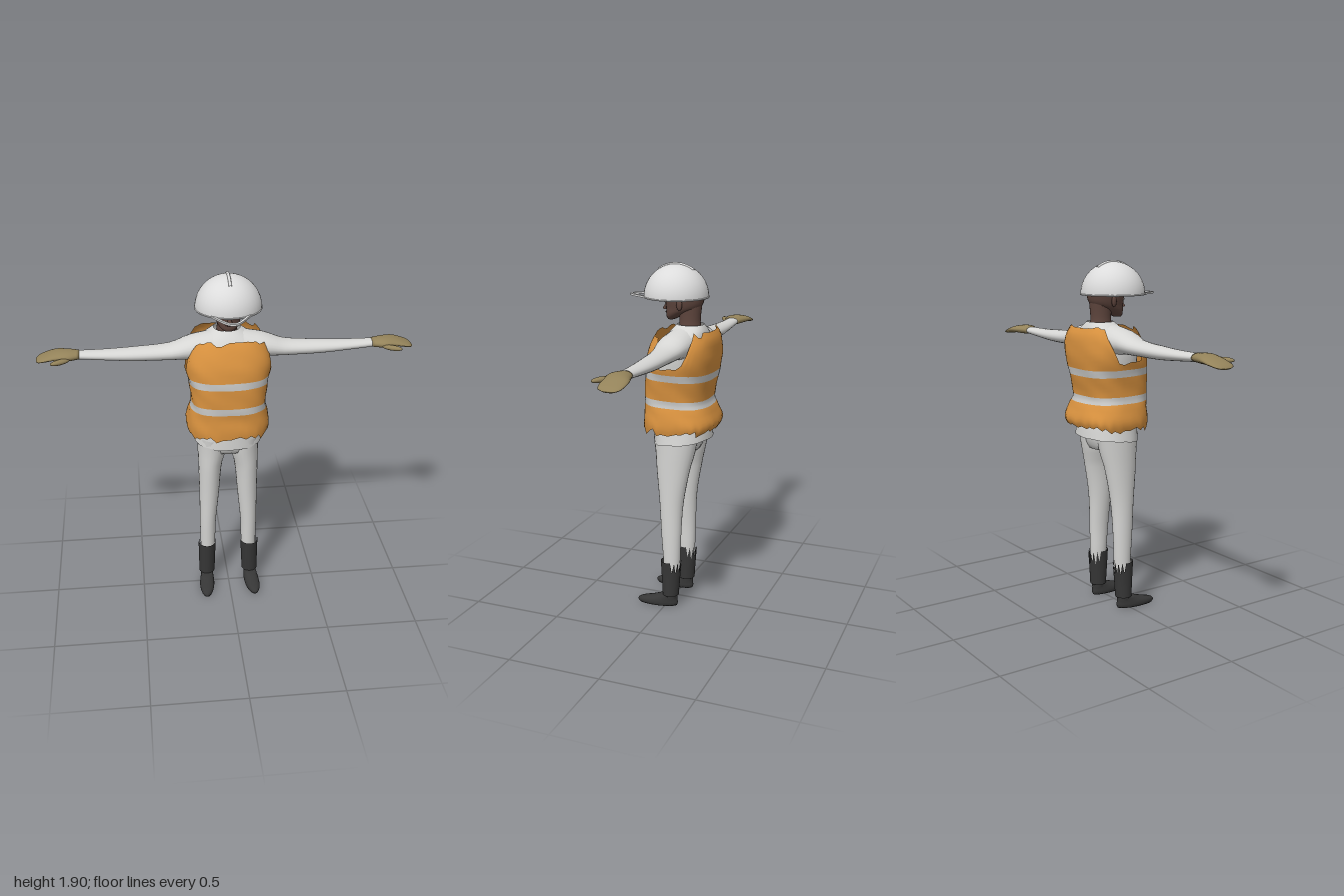
import * as THREE from 'three';

const mat = (name, color) => new THREE.MeshStandardMaterial({ name, color, side: THREE.DoubleSide });

// Smoothly interpolated row [t, centre, halfWidth, front, back] at height t
function rowAt(rows, t) {
  let i = 0;
  while (i < rows.length - 2 && t > rows[i + 1][0]) i++;
  const a = rows[i], b = rows[i + 1], p = rows[Math.max(i - 1, 0)], n = rows[Math.min(i + 2, rows.length - 1)];
  const h = b[0] - a[0], s = THREE.MathUtils.clamp((t - a[0]) / h, 0, 1), s2 = s * s, s3 = s2 * s;
  return a.map((v, k) => {
    const m0 = (b[k] - p[k]) / (b[0] - p[0]) * h, m1 = (n[k] - v) / (n[0] - a[0]) * h;
    return v * (2 * s3 - 3 * s2 + 1) + m0 * (s3 - 2 * s2 + s) + b[k] * (3 * s2 - 2 * s3) + m1 * (s3 - s2);
  });
}

// Skin of rounded cross-sections; the lower and upper edges may vary around the loop
function skin(rows, { nu = 24, nv = 14, power = 1, cap = false, bump = () => 0,
  bottom = () => rows[0][0], top = () => rows[rows.length - 1][0] } = {}) {
  const pos = [], idx = [];
  const bend = v => Math.sign(v) * Math.abs(v) ** power;
  for (let j = 0; j <= nv; j++) {
    for (let i = 0; i < nu; i++) {
      const a = i / nu * Math.PI * 2;
      const y = THREE.MathUtils.lerp(bottom(a, i), top(a, i), j / nv);
      const [, c, rx, zf, zb] = rowAt(rows, y), k = 1 + bump(a, y);
      pos.push(c + rx * k * bend(Math.sin(a)), y, (zf + zb) / 2 + (zf - zb) / 2 * k * bend(Math.cos(a)));
      if (j < nv) {
        const p = j * nu + i, q = j * nu + (i + 1) % nu;
        idx.push(p, q, q + nu, p, q + nu, p + nu);
      }
    }
  }
  if (cap) {
    [[rows[0], 0], [rows[rows.length - 1], nv * nu]].forEach(([r, base], end) => {
      const centre = pos.length / 3;
      pos.push(r[1], r[0], (r[3] + r[4]) / 2);
      for (let i = 0; i < nu; i++) {
        const p = base + i, q = base + (i + 1) % nu;
        idx.push(...(end ? [centre, p, q] : [centre, q, p]));
      }
    });
  }
  const g = new THREE.BufferGeometry();
  g.setAttribute('position', new THREE.Float32BufferAttribute(pos, 3));
  g.setIndex(idx);
  g.computeVertexNormals();
  return g;
}

// Mirror image across x = 0 with corner order restored
function mirrored(g) {
  const m = g.clone().scale(-1, 1, 1), ix = m.index.array;
  for (let i = 0; i < ix.length; i += 3) [ix[i], ix[i + 1]] = [ix[i + 1], ix[i]];
  m.computeVertexNormals();
  return m;
}

const hash = i => { const s = Math.sin(i * 127.1 + 11.7) * 43758.5453; return s - Math.floor(s); };

export function createModel() {
  const root = new THREE.Group();
  root.name = 'worker';
  const cloth = mat('white cloth', 0xd6d6d4), shell = mat('helmet white', 0xdcdcdc);
  const orange = mat('vest orange', 0xd9923f), stripe = mat('reflective grey', 0xc8c8c6);
  const skinTone = mat('brown skin', 0x5e453d), lip = mat('lip brown', 0x4a2c28);
  const black = mat('boot black', 0x363636), khaki = mat('glove khaki', 0x94835a);
  const eyeWhite = mat('eye white', 0xb8aca4);
  const add = (name, geometry, material) => {
    const m = new THREE.Mesh(geometry, material);
    m.name = name;
    root.add(m);
  };
  const pair = (name, g, material) => {
    add(name + 'Left', g, material);
    add(name + 'Right', mirrored(g), material);
  };

  // Trousers
  pair('trouserLeg', skin([
    [0.15, 0.122, 0.036, 0.012, -0.068], [0.27, 0.118, 0.042, 0.02, -0.076], [0.4, 0.117, 0.045, 0.03, -0.08],
    [0.6, 0.108, 0.055, 0.044, -0.09], [0.8, 0.1, 0.066, 0.064, -0.125], [0.88, 0.089, 0.079, 0.072, -0.145],
    [0.98, 0.086, 0.084, 0.085, -0.165]], { nv: 20 }), cloth);
  add('trouserHips', skin([[0.89, 0, 0.16, 0.06, -0.135], [0.93, 0, 0.168, 0.076, -0.155],
    [1.02, 0, 0.168, 0.085, -0.17]], { nv: 5, cap: true }), cloth);

  // Boots: sole and foot, ankle, shaft with a ragged back edge
  const foot = skin([[0, 0.128, 0.038, 0.16, -0.06], [0.015, 0.128, 0.042, 0.167, -0.066],
    [0.03, 0.128, 0.041, 0.15, -0.064], [0.045, 0.128, 0.037, 0.09, -0.063], [0.062, 0.128, 0.034, 0.035, -0.062]],
    { nv: 10, cap: true });
  const fp = foot.attributes.position;
  for (let i = 0; i < fp.count; i++) fp.setX(i, fp.getX(i) + fp.getZ(i) * 0.07);
  foot.computeVertexNormals();
  pair('bootFoot', foot, black);
  pair('bootAnkle', new THREE.CylinderGeometry(0.036, 0.034, 0.05, 20).translate(0.126, 0.07, -0.026), black);
  pair('bootShaft', skin([[0.065, 0.126, 0.045, 0.02, -0.07], [0.16, 0.124, 0.047, 0.026, -0.077],
    [0.268, 0.123, 0.05, 0.033, -0.086]], {
    nu: 32, nv: 8,
    top: (a, i) => Math.cos(a) < -0.1 ? (i % 2 ? 0.268 : 0.185 + 0.03 * hash(i)) : 0.266
  }), black);

  // Shirt body and sleeves
  add('shirtBody', skin([[0.93, 0, 0.188, 0.1, -0.21], [1.02, 0, 0.175, 0.1, -0.2], [1.2, 0, 0.16, 0.1, -0.17],
    [1.4, 0, 0.185, 0.09, -0.19], [1.48, 0, 0.18, 0.05, -0.185], [1.535, 0, 0.145, 0.02, -0.18],
    [1.562, 0, 0.09, -0.005, -0.17], [1.578, 0, 0.07, -0.02, -0.16]], {
    nu: 32, nv: 26, power: 0.9, bottom: (a, i) => 0.948 - 0.016 * Math.cos(a) + 0.008 * (hash(i) - 0.5)
  }), cloth);
  // Arm sections run along x, so their local centre is minus the height
  const along = (rows, options) => skin(rows, options).rotateZ(-Math.PI / 2);
  pair('sleeve', along([[0.08, -1.478, 0.088, 0.03, -0.165], [0.2, -1.481, 0.062, 0.025, -0.15],
    [0.3, -1.464, 0.043, 0.01, -0.128], [0.5, -1.457, 0.034, -0.004, -0.115], [0.65, -1.459, 0.026, -0.015, -0.106],
    [0.8, -1.465, 0.02, -0.026, -0.097]], { nv: 20 }), cloth);

  // Mitten gloves
  pair('glove', along([[0.775, -1.465, 0.022, -0.022, -0.1], [0.84, -1.466, 0.026, 0, -0.12],
    [0.9, -1.464, 0.021, -0.01, -0.138], [0.96, -1.451, 0.014, -0.013, -0.137], [0.988, -1.443, 0.01, -0.025, -0.127],
    [1.0, -1.438, 0.005, -0.05, -0.11]], { nv: 16, cap: true }), khaki);
  pair('gloveThumb', new THREE.SphereGeometry(1, 16, 10).scale(0.056, 0.014, 0.018).rotateY(-0.5)
    .translate(0.873, 1.458, 0.014), khaki);

  // Padded vest in bands, with ragged hem and armholes
  const vestRows = [[0.97, 0, 0.2, 0.138, -0.19], [1.05, 0, 0.225, 0.145, -0.25], [1.13, 0, 0.212, 0.14, -0.225],
    [1.18, 0, 0.2, 0.143, -0.205], [1.3, 0, 0.212, 0.14, -0.225], [1.4, 0, 0.234, 0.128, -0.24],
    [1.46, 0, 0.23, 0.11, -0.24], [1.52, 0, 0.207, 0.085, -0.232], [1.57, 0, 0.185, 0.055, -0.2]];
  const hem = (a, i) => 0.995 + 0.035 * hash(i >> 1) + (i % 2 ? 0.014 : 0);
  const upper = (a, i) => 1.37 + 0.165 * THREE.MathUtils.smoothstep(Math.abs(Math.cos(a)), 0.2, 0.62)
    + 0.035 * (hash(i >> 1) - 0.3);
  const level = y => a => y + 0.006 * Math.cos(a);
  const edges = [hem, level(1.158), level(1.196), level(1.302), level(1.34), upper];
  const steps = [8, 3, 6, 3, 9];
  steps.forEach((nv, k) => add(k % 2 ? 'vestStripe' : 'vestPanel', skin(vestRows, {
    nu: 48, nv, power: 0.75, bottom: edges[k], top: edges[k + 1],
    bump: (a, y) => 0.014 * Math.sin(a * 5 + y * 21) * Math.sin(y * 34 + a * 2)
  }), k % 2 ? stripe : orange));

  // Neck, head, ears and face
  add('neck', skin([[1.54, 0, 0.06, -0.022, -0.15], [1.59, 0, 0.052, -0.03, -0.142], [1.68, 0, 0.055, -0.02, -0.15]],
    { nv: 6 }), skinTone);
  add('head', skin([[1.598, 0, 0.025, 0.036, 0], [1.61, 0, 0.042, 0.043, -0.025], [1.635, 0, 0.06, 0.044, -0.075],
    [1.66, 0, 0.069, 0.046, -0.135], [1.7, 0, 0.077, 0.05, -0.16], [1.76, 0, 0.08, 0.045, -0.162],
    [1.81, 0, 0.06, 0.01, -0.13], [1.83, 0, 0.02, -0.04, -0.08]], { nv: 24, cap: true }), skinTone);
  add('nose', new THREE.ConeGeometry(0.015, 0.045, 8).scale(1, 1, 0.9).rotateX(-0.25)
    .translate(0, 1.672, 0.05), skinTone);
  pair('ear', new THREE.SphereGeometry(1, 12, 8).scale(0.01, 0.03, 0.018).rotateY(-0.3)
    .translate(0.08, 1.685, -0.055), skinTone);
  pair('eye', new THREE.SphereGeometry(1, 12, 8).scale(0.012, 0.005, 0.004).rotateY(0.35)
    .translate(0.03, 1.692, 0.04), eyeWhite);
  pair('pupil', new THREE.SphereGeometry(1, 10, 8).scale(0.005, 0.005, 0.003).translate(0.03, 1.692, 0.043), black);
  pair('eyebrow', new THREE.BoxGeometry(0.03, 0.005, 0.006).rotateY(0.35).translate(0.031, 1.707, 0.042), black);
  add('lips', new THREE.SphereGeometry(1, 14, 8).scale(0.021, 0.007, 0.006).translate(0, 1.637, 0.043), lip);

  // Hard hat: shell, rim, crown ridge, liner and slim front peak
  add('helmetShell', new THREE.SphereGeometry(1, 36, 14, 0, Math.PI * 2, 0, Math.PI / 2)
    .scale(0.173, 0.17, 0.172).translate(0, 1.718, -0.008), shell);
  add('helmetRim', new THREE.TorusGeometry(0.172, 0.004, 8, 40).rotateX(Math.PI / 2)
    .translate(0, 1.718, -0.008), shell);
  add('helmetRidge', new THREE.TorusGeometry(0.17, 0.008, 8, 20, 1.2).rotateZ(Math.PI / 2 - 0.6)
    .rotateY(Math.PI / 2).translate(0, 1.718, -0.008), shell);
  add('helmetLiner', new THREE.CylinderGeometry(0.11, 0.125, 0.05, 28, 1, true).translate(0, 1.75, -0.03), black);
  const peak = new THREE.Shape();
  peak.moveTo(-0.115, 0.115);
  peak.bezierCurveTo(-0.07, 0.17, -0.045, 0.253, 0, 0.253);
  peak.bezierCurveTo(0.045, 0.253, 0.07, 0.17, 0.115, 0.115);
  peak.lineTo(0.1, 0.115);
  peak.bezierCurveTo(0.06, 0.165, 0.035, 0.236, 0, 0.236);
  peak.bezierCurveTo(-0.035, 0.236, -0.06, 0.165, -0.1, 0.115);
  add('helmetPeak', new THREE.ExtrudeGeometry(peak, { depth: 0.01, bevelEnabled: false, curveSegments: 14 })
    .rotateX(Math.PI / 2).translate(0, 1.725, 0), shell);

  return root;
}
